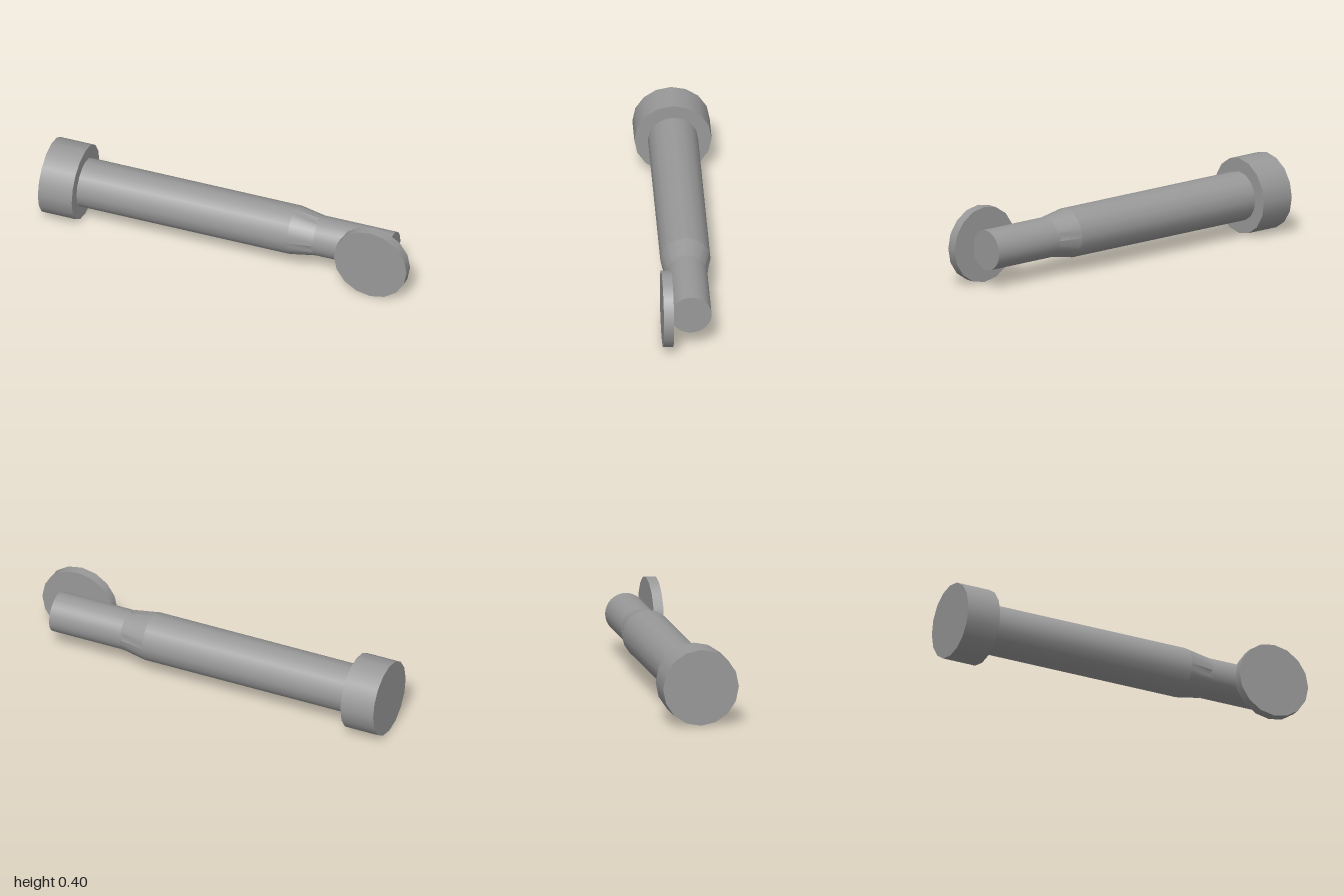
import * as THREE from 'three';
import { toCreasedNormals } from 'three/addons/utils/BufferGeometryUtils.js';

const CENTRE_Y = 0.2;

export function createModel() {
  const group = new THREE.Group();
  const material = new THREE.MeshStandardMaterial({ color: 0x999999 });

  const add = (name, geometry) => {
    const mesh = new THREE.Mesh(geometry, material);
    mesh.name = name;
    group.add(mesh);
  };

  // Round section along x, from x0 (radius r0) to x1 (radius r1)
  const section = (x0, x1, r0, r1, sides, open = false) =>
    new THREE.CylinderGeometry(r1, r0, x1 - x0, sides, 1, open)
      .rotateZ(-Math.PI / 2)
      .translate((x0 + x1) / 2, CENTRE_Y, 0);

  add('head', section(-1, -0.815, 0.198, 0.198, 16));
  add('shaft', section(-0.815, 0.335, 0.1285, 0.1285, 16));
  add('tip', section(0.46, 0.869, 0.105, 0.105, 32));

  // Taper: blends the 16-sided shaft into the 32-sided tip,
  // with a small nick beside each quarter turn at the tip end
  const taper = section(0.335, 0.47, 0.1285, 0.105, 32, true);
  const pos = taper.attributes.position;
  for (let i = 0; i < pos.count; i++) {
    const column = i % 33;
    const atTip = pos.getX(i) > 0.4;
    let k = 1;
    if (atTip && column % 8 === 1) k = 0.94;
    if (!atTip && column % 2 === 1) k = Math.cos(Math.PI / 16);
    pos.setY(i, CENTRE_Y + (pos.getY(i) - CENTRE_Y) * k);
    pos.setZ(i, pos.getZ(i) * k);
  }
  add('taper', toCreasedNormals(taper, 0.45));

  // Flat disc on the front of the tip
  add('disc', new THREE.CylinderGeometry(0.199, 0.199, 0.052, 16)
    .rotateX(Math.PI / 2)
    .translate(0.8, CENTRE_Y, 0.12));

  return group;
}
